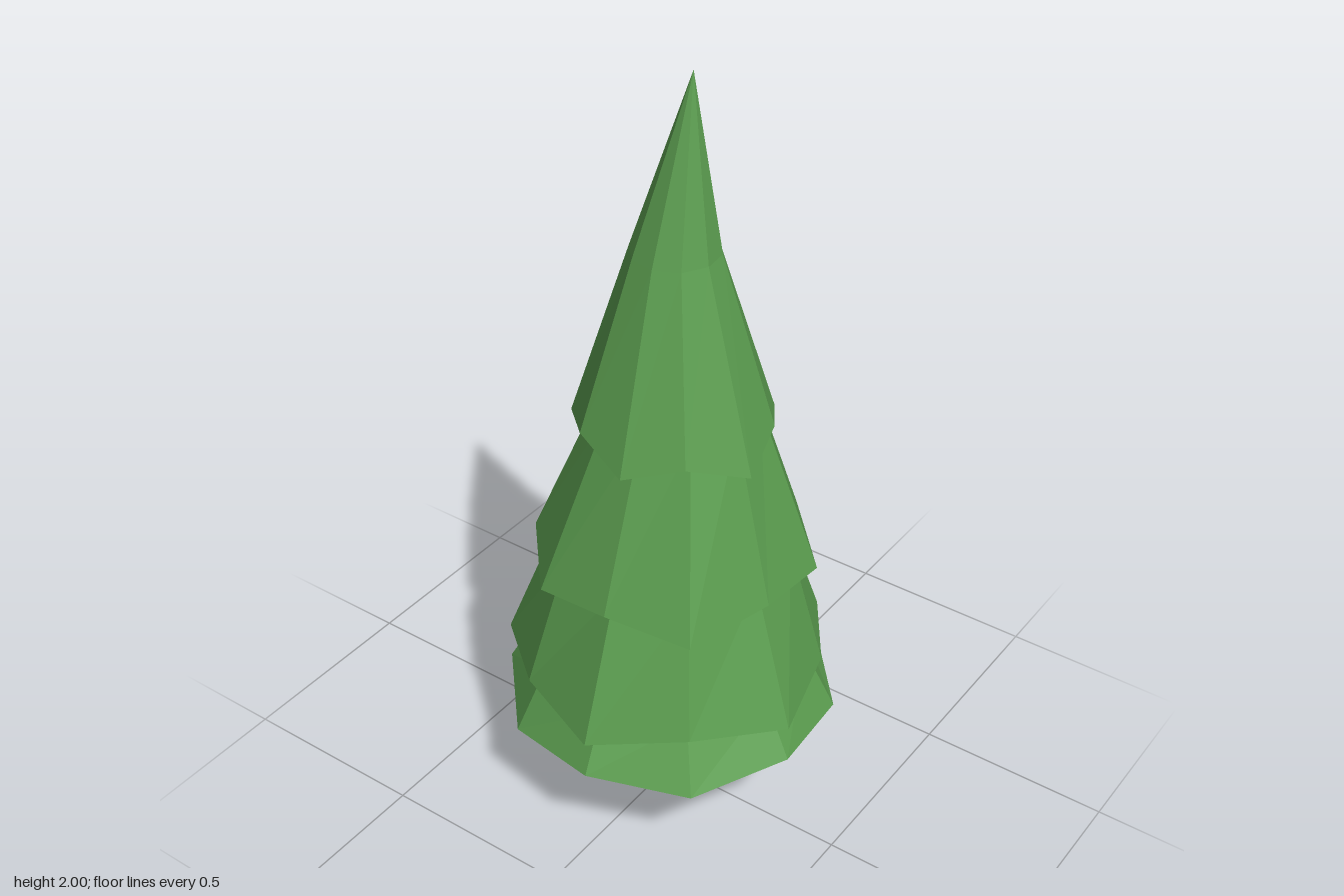
import * as THREE from 'three';

const SIDES = 10;
const PHASE = -0.108;

// Ring of corner points; even and odd corners may differ in radius and height
function ring(cx, cz, rEven, yEven, rOdd = rEven, yOdd = yEven) {
  return Array.from({ length: SIDES }, (_, k) => {
    const a = PHASE + (k / SIDES) * Math.PI * 2;
    const r = k % 2 ? rOdd : rEven;
    return [cx + r * Math.cos(a), k % 2 ? yOdd : yEven, cz + r * Math.sin(a)];
  });
}

const point = (x, y, z) => Array.from({ length: SIDES }, () => [x, y, z]);

// Skin a stack of rings, listed from bottom to top
function skin(rings) {
  const pos = [];
  const tri = (a, b, c) => {
    const same = (p, q) => p.every((v, i) => v === q[i]);
    if (!same(a, b) && !same(b, c) && !same(a, c)) pos.push(...a, ...b, ...c);
  };
  for (let i = 0; i < rings.length - 1; i++) {
    const lo = rings[i], hi = rings[i + 1];
    for (let k = 0; k < SIDES; k++) {
      const n = (k + 1) % SIDES;
      tri(lo[k], hi[k], lo[n]);
      tri(hi[k], hi[n], lo[n]);
    }
  }
  const g = new THREE.BufferGeometry();
  g.setAttribute('position', new THREE.Float32BufferAttribute(pos, 3));
  g.computeVertexNormals();
  return g;
}

export function createModel() {
  const group = new THREE.Group();
  group.name = 'pineTree';

  const leafGreen = new THREE.MeshStandardMaterial({ color: 0x5c9e50, flatShading: true });
  leafGreen.name = 'leafGreen';
  const barkBrown = new THREE.MeshStandardMaterial({ color: 0x643f44, flatShading: true });
  barkBrown.name = 'barkBrown';

  const add = (name, rings, material) => {
    const mesh = new THREE.Mesh(skin(rings), material);
    mesh.name = name;
    group.add(mesh);
  };

  // Trunk with flared foot
  add('trunk', [
    point(-0.012, 0.005, -0.003),
    ring(-0.012, -0.003, 0.074, 0.005),
    ring(-0.012, 0, 0.053, 0.1),
    ring(-0.008, 0.003, 0.05, 0.4),
  ], barkBrown);

  // Uneven hems of the two upper tiers
  const thirdHem = [
    [0.336, 0.745, -0.038], [0.295, 0.765, 0.175], [0.14, 0.73, 0.333], [-0.07, 0.752, 0.331],
    [-0.284, 0.728, 0.257], [-0.335, 0.76, 0.05], [-0.317, 0.735, -0.152], [-0.15, 0.765, -0.3],
    [0.043, 0.74, -0.304], [0.244, 0.765, -0.226],
  ];
  const topHem = [
    [0.206, 1.16, 0], [0.197, 1.105, 0.16], [0.072, 1.145, 0.241], [-0.076, 1.097, 0.277],
    [-0.2, 1.15, 0.183], [-0.268, 1.11, 0.052], [-0.228, 1.16, -0.09], [-0.12, 1.125, -0.2],
    [0.023, 1.18, -0.2], [0.168, 1.12, -0.139],
  ];

  // Foliage: each tier starts at its hem and narrows into the one above
  add('foliage', [
    point(0, 0.34, 0),
    ring(0, 0, 0.42, 0.293, 0.42, 0.318),
    ring(0, 0, 0.34, 0.46),
    ring(0, 0, 0.383, 0.442, 0.419, 0.417),
    ring(0, 0.01, 0.285, 0.785),
    thirdHem,
    ring(-0.012, 0.037, 0.185, 1.19),
    topHem,
    ring(-0.025, 0.031, 0.105, 1.58),
    point(0, 2, 0.058),
  ], leafGreen);

  return group;
}
